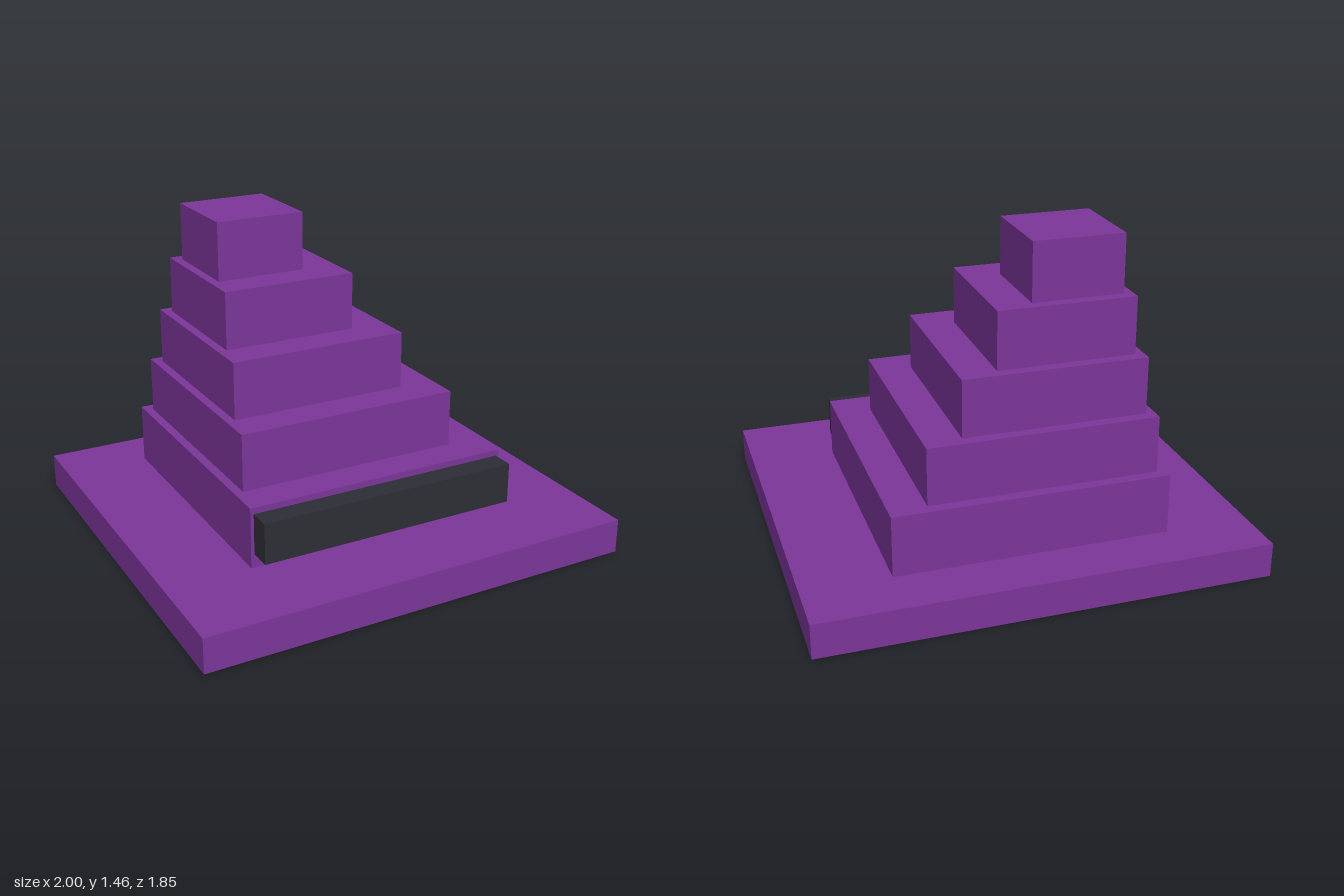
import * as THREE from 'three';

export function createModel() {
  const model = new THREE.Group();
  model.name = 'steppedPyramid';

  const purple = new THREE.MeshStandardMaterial({ color: 0x7a3598 });
  purple.name = 'purple';
  const charcoal = new THREE.MeshStandardMaterial({ color: 0x2d2d35 });
  charcoal.name = 'charcoal';

  // Box given by its extents along each axis
  function addBlock(name, material, [x0, x1], [y0, y1], [z0, z1]) {
    const mesh = new THREE.Mesh(new THREE.BoxGeometry(x1 - x0, y1 - y0, z1 - z0), material);
    mesh.position.set((x0 + x1) / 2, (y0 + y1) / 2, (z0 + z1) / 2);
    mesh.name = name;
    model.add(mesh);
  }

  // Wide base slab
  addBlock('base', purple, [-1, 1], [0, 0.157], [-0.927, 0.927]);

  // Five square tiers, shrinking towards the back right corner
  const tops = [0.157, 0.43, 0.687, 0.943, 1.2, 1.46];
  for (let i = 0; i < 5; i++) {
    const size = 1.228 - i * 0.2055;
    const x = -0.615 + i * 0.04;
    const z = -0.688 + i * 0.0513;
    addBlock(`tier${i + 1}`, purple, [x, x + size], [tops[i], tops[i + 1]], [z, z + size]);
  }

  // Dark bar on the front of the lowest tier
  addBlock('frontBar', charcoal, [-0.6, 0.6], [0.218, 0.402], [0.54, 0.64]);

  return model;
}
